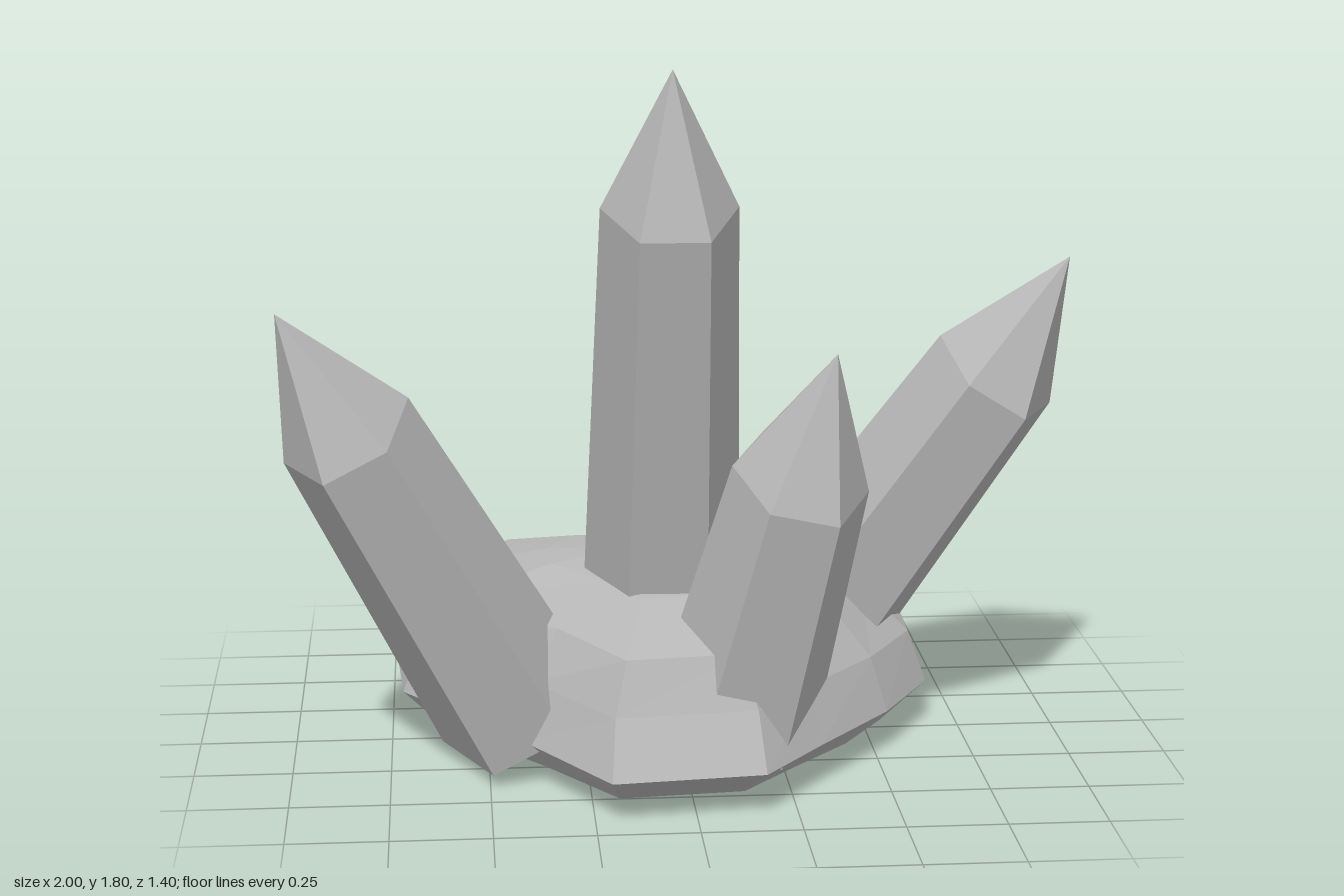
import * as THREE from 'three';
import { ConvexGeometry } from 'three/addons/geometries/ConvexGeometry.js';

const stone = new THREE.MeshStandardMaterial({ color: 0xb8b8b8 });
stone.name = 'grey stone';

// Widest outline of the rock as [x, z], counter-clockwise seen from above
const OUTLINE = [
  [-0.21, 0.70], [0.17, 0.66], [0.33, 0.45], [0.53, 0.20], [0.67, -0.05], [0.68, -0.38],
  [0.45, -0.64], [-0.20, -0.70], [-0.56, -0.68], [-0.74, -0.39], [-0.72, -0.06], [-0.42, 0.36],
];

// Rock rings: height, scale in x, scale in z (towards the rock's middle)
const RINGS = [
  [0.0, 0.83, 0.74], [0.11, 1, 1], [0.25, 0.93, 0.9], [0.38, 0.75, 0.83], [0.45, 0.42, 0.45],
];

function rockGeometry() {
  const cx = -0.04, cz = -0.08, n = OUTLINE.length;
  const points = [], faces = [];
  for (const [y, sx, sz] of RINGS) {
    for (const [x, z] of OUTLINE) points.push(cx + (x - cx) * sx, y, cz + (z - cz) * sz);
  }
  const bottom = RINGS.length * n, top = bottom + 1, last = (RINGS.length - 1) * n;
  points.push(cx, 0, cz, cx - 0.06, 0.49, cz);
  for (let i = 0; i < n; i++) {
    const j = (i + 1) % n;
    for (let r = 0; r < last; r += n) {
      faces.push(r + i, r + j, r + n + j, r + i, r + n + j, r + n + i);
    }
    faces.push(bottom, j, i, top, last + i, last + j);
  }
  const indexed = new THREE.BufferGeometry();
  indexed.setAttribute('position', new THREE.Float32BufferAttribute(points, 3));
  indexed.setIndex(faces);
  const geometry = indexed.toNonIndexed();
  geometry.computeVertexNormals();
  return geometry;
}

// Six-sided tapering crystal with a pointed cap, leaning along base -> shoulder
function crystalGeometry(base, shoulder, tip) {
  const a = new THREE.Vector3(...base), b = new THREE.Vector3(...shoulder);
  const axis = b.clone().sub(a).normalize();
  const side = new THREE.Vector3(axis.y, -axis.x, 0).normalize();
  const front = new THREE.Vector3().crossVectors(side, axis);
  const points = [new THREE.Vector3(...tip)];
  for (const [centre, scale] of [[a, 1.23], [b, 1]]) {
    for (let i = 0; i < 6; i++) {
      const t = (i * Math.PI) / 3;
      points.push(centre.clone()
        .addScaledVector(side, 0.172 * scale * Math.cos(t))
        .addScaledVector(front, 0.236 * scale * Math.sin(t)));
    }
  }
  return new ConvexGeometry(points);
}

const CRYSTALS = [
  ['tallCrystal', [-0.04, 0.15, -0.09], [-0.04, 1.45, 0.28], [-0.04, 1.8, 0.38]],
  ['rightCrystal', [-0.43, 0.14, 0.15], [-0.84, 0.93, 0.40], [-1.0, 1.24, 0.50]],
  ['frontCrystal', [0.13, 0.17, 0.30], [0.265, 0.81, 0.49], [0.34, 1.14, 0.59]],
  ['leftCrystal', [0.33, 0.17, -0.26], [0.83, 0.97, 0.0], [1.0, 1.28, 0.09]],
];

export function createModel() {
  const model = new THREE.Group();
  model.name = 'crystalCluster';
  const add = (name, geometry) => {
    const mesh = new THREE.Mesh(geometry, stone);
    mesh.name = name;
    model.add(mesh);
  };
  add('rockBase', rockGeometry());
  for (const [name, base, shoulder, tip] of CRYSTALS) add(name, crystalGeometry(base, shoulder, tip));
  return model;
}
